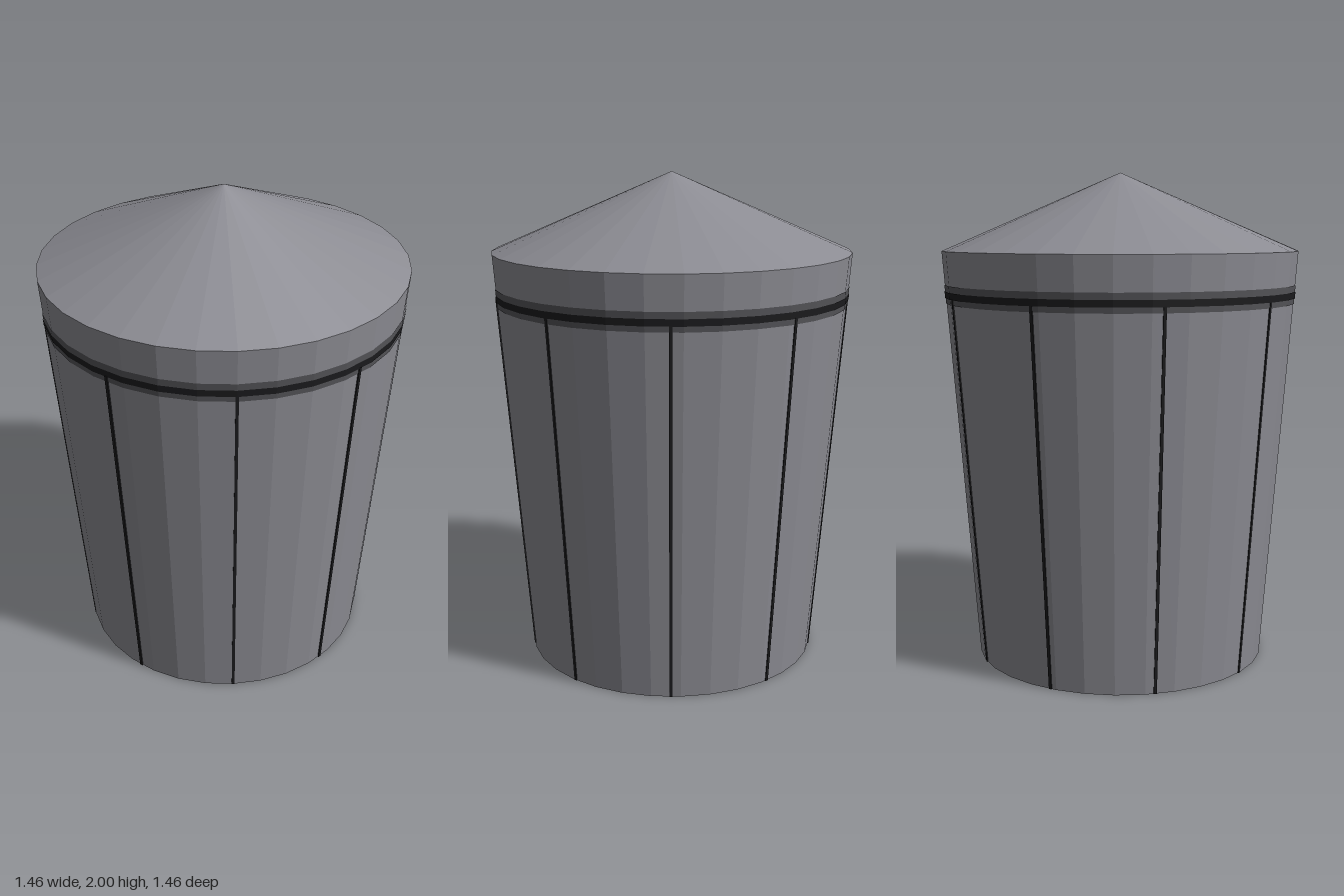
import * as THREE from 'three';

const SIDES = 32, RIM_Y = 1.685, BOTTOM_R = 0.6, RIM_R = 0.73;
// radius of the tapered wall at height y
const wallRadius = (y) => BOTTOM_R + (RIM_R - BOTTOM_R) * y / RIM_Y;

export function createModel() {
  const group = new THREE.Group();
  const grey = new THREE.MeshStandardMaterial({ color: 0x8c8c93, flatShading: true });
  grey.name = 'grey';
  const darkGrey = new THREE.MeshStandardMaterial({ color: 0x555559, flatShading: true });
  darkGrey.name = 'dark grey';
  const black = new THREE.MeshStandardMaterial({ color: 0x1c1c1e, flatShading: true });
  black.name = 'black';

  const add = (name, geometry, material, parent = group) => {
    const mesh = new THREE.Mesh(geometry, material);
    mesh.name = name;
    parent.add(mesh);
    return mesh;
  };

  // Tapered ring lying just outside the wall
  const ring = (name, y0, y1, offset, material) => {
    const geometry = new THREE.CylinderGeometry(
      wallRadius(y1) + offset, wallRadius(y0) + offset, y1 - y0, SIDES, 1, true);
    add(name, geometry, material).position.y = (y0 + y1) / 2;
  };

  // Tapered body with closed base
  const body = new THREE.LatheGeometry([
    new THREE.Vector2(0, 0),
    new THREE.Vector2(BOTTOM_R, 0),
    new THREE.Vector2(RIM_R, RIM_Y),
  ], SIDES);
  add('body', body, grey);

  // Low conical lid
  const lid = new THREE.ConeGeometry(RIM_R, 2 - RIM_Y, SIDES, 1, true);
  add('lid', lid, grey).position.y = (2 + RIM_Y) / 2;

  // Band below the lid with a black centre line
  ring('band', 1.475, 1.55, 0.002, darkGrey);
  ring('bandLine', 1.497, 1.524, 0.004, black);

  // Nine narrow upright seams following the taper
  const seamTop = 1.5;
  const lean = Math.atan((wallRadius(seamTop) - BOTTOM_R) / seamTop);
  for (let i = 0; i < 9; i++) {
    const seam = new THREE.Group();
    seam.name = 'seam' + (i + 1);
    seam.rotation.y = i * Math.PI * 2 / 9;
    const strip = add('seamStrip',
      new THREE.BoxGeometry(0.012, seamTop / Math.cos(lean), 0.008), black, seam);
    strip.position.set(0, seamTop / 2, wallRadius(seamTop / 2) - 0.002);
    strip.rotation.x = lean;
    group.add(seam);
  }
  return group;
}
